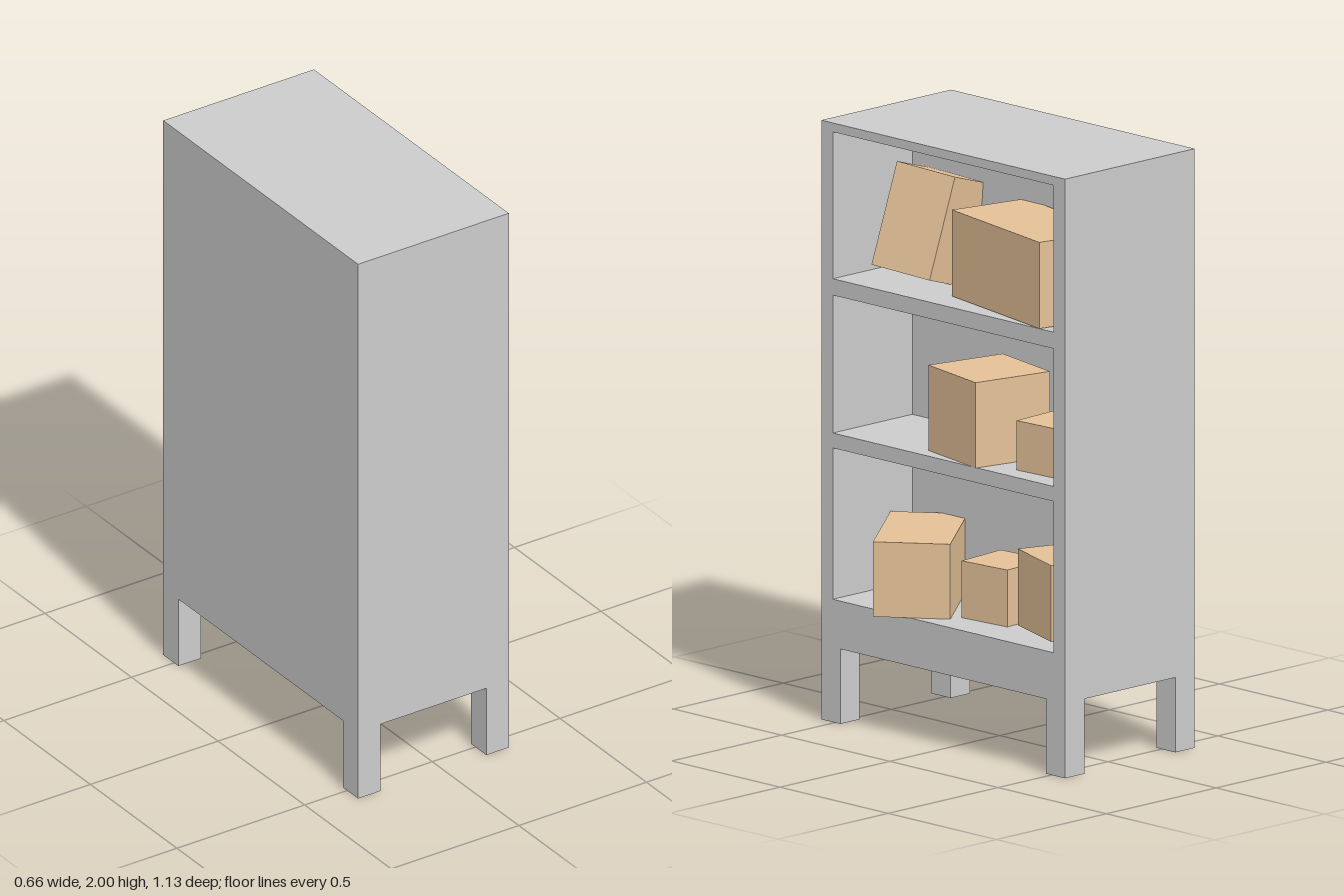
import * as THREE from 'three';

const grey = new THREE.MeshStandardMaterial({ color: 0xcccccc, flatShading: true });
const cardboard = new THREE.MeshStandardMaterial({ color: 0xe4c198, flatShading: true });

// Cabinet limits
const X0 = -0.333, X1 = 0.257, HALF_Z = 0.563, BASE = 0.25, TOP = 2, BACK = -0.105, LEG = 0.088;

function addBox(parent, name, size, position, material) {
  const mesh = new THREE.Mesh(new THREE.BoxGeometry(...size), material);
  mesh.name = name;
  mesh.position.set(...position);
  parent.add(mesh);
  return mesh;
}

function rectangle(path, x0, x1, y0, y1) {
  path.moveTo(x0, y0);
  path.lineTo(x1, y0);
  path.lineTo(x1, y1);
  path.lineTo(x0, y1);
  path.closePath();
  return path;
}

function createCabinet() {
  const cabinet = new THREE.Group();
  cabinet.name = 'cabinet';

  // Frame with three shelf openings towards +x
  const outline = rectangle(new THREE.Shape(), -HALF_Z, HALF_Z, BASE, TOP);
  for (const [low, high] of [[0.41, 0.915], [0.965, 1.425], [1.48, 1.97]]) {
    outline.holes.push(rectangle(new THREE.Path(), -0.51, 0.51, low, high));
  }
  const geometry = new THREE.ExtrudeGeometry(outline, { depth: X1 - BACK, bevelEnabled: false });
  geometry.rotateY(Math.PI / 2);
  geometry.translate(BACK, 0, 0);
  const frame = new THREE.Mesh(geometry, grey);
  frame.name = 'shelfFrame';
  cabinet.add(frame);

  // Thick back behind the shelves
  addBox(cabinet, 'backPanel', [BACK - X0, TOP - BASE, HALF_Z * 2],
    [(X0 + BACK) / 2, (BASE + TOP) / 2, 0], grey);

  // Four square legs
  for (const x of [X0 + LEG / 2, X1 - LEG / 2]) {
    for (const side of [-1, 1]) {
      addBox(cabinet, 'leg', [LEG, BASE, LEG], [x, BASE / 2, side * (HALF_Z - LEG / 2)], grey);
    }
  }
  return cabinet;
}

function createCartons() {
  const cartons = new THREE.Group();
  cartons.name = 'cartons';

  // Upright cartons: name, size, centre x, floor y, centre z, turn
  const upright = [
    ['lowerLongCarton', [0.42, 0.25, 0.253], 0.087, 0.41, 0.278, 0.657],
    ['lowerSmallCarton', [0.196, 0.19, 0.196], 0.029, 0.41, -0.05, 0.085],
    ['lowerCubeCarton', [0.254, 0.255, 0.254], 0.027, 0.42, -0.352, -0.337],
    ['middleLargeCarton', [0.286, 0.285, 0.286], 0.092, 0.965, -0.045, -0.21],
    ['middleSmallCarton', [0.19, 0.165, 0.19], 0.085, 0.965, -0.355, 0.058],
    ['upperWideCarton', [0.286, 0.288, 0.526], 0.068, 1.482, -0.222, -0.209],
  ];
  for (const [name, size, x, floor, z, turn] of upright) {
    addBox(cartons, name, size, [x, floor + size[1] / 2, z], cardboard).rotation.y = turn;
  }

  // Carton leaning against the back of the top shelf
  const leaning = addBox(cartons, 'leaningCarton', [0.18, 0.346, 0.24], [0.028, 1.661, 0.297], cardboard);
  const front = new THREE.Vector3(0.942, 0.3, -0.14).normalize();
  const side = new THREE.Vector3().crossVectors(front, new THREE.Vector3(-0.303, 0.953, -0.029)).normalize();
  const up = new THREE.Vector3().crossVectors(side, front);
  leaning.quaternion.setFromRotationMatrix(new THREE.Matrix4().makeBasis(front, up, side));
  return cartons;
}

export function createModel() {
  const model = new THREE.Group();
  model.name = 'shelfWithCartons';
  model.add(createCabinet(), createCartons());
  return model;
}
